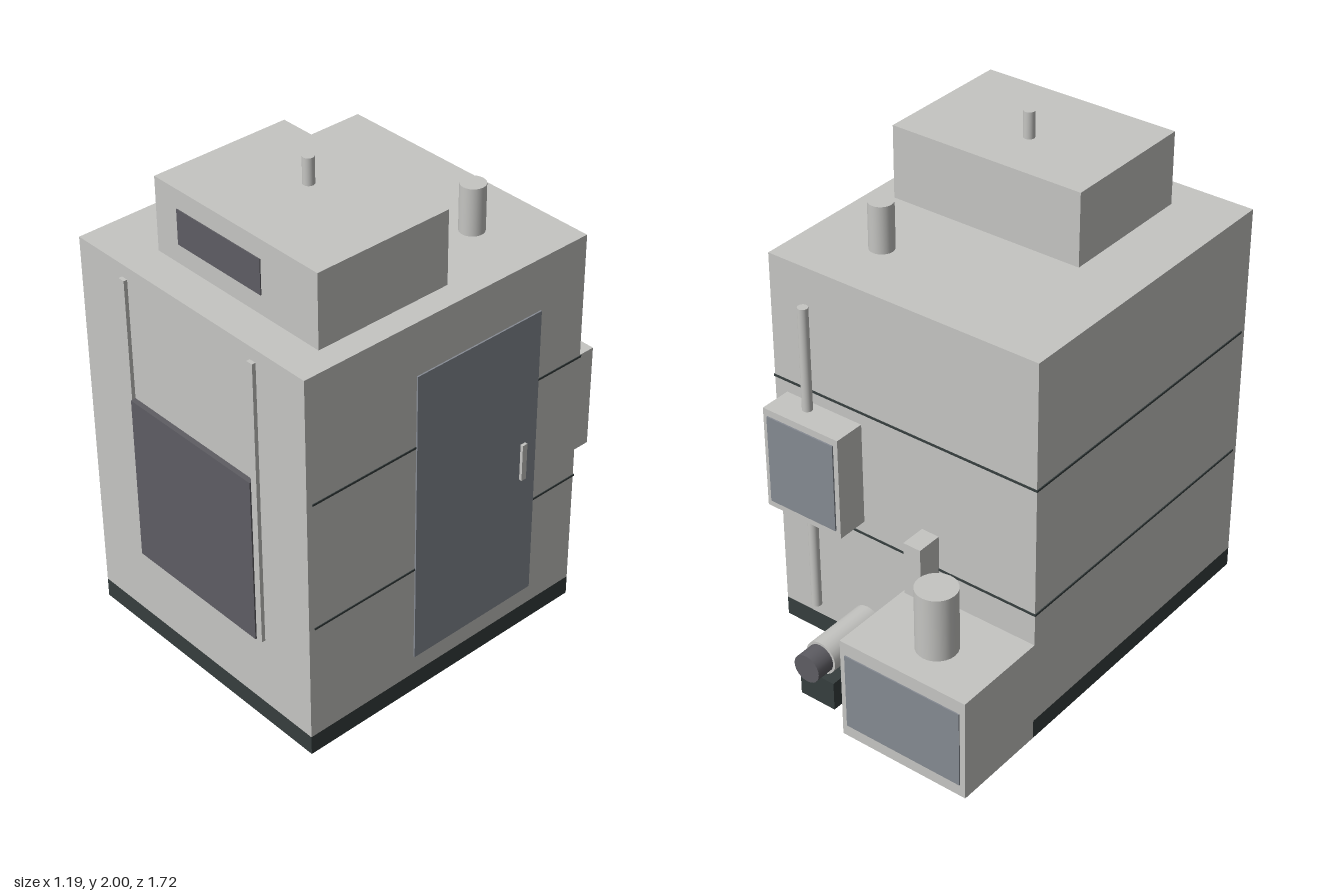
import * as THREE from 'three';

const mat = (name, color) => {
  const m = new THREE.MeshStandardMaterial({ color });
  m.name = name;
  return m;
};

export function createModel() {
  const model = new THREE.Group();
  model.name = 'equipmentCabin';

  const shell = mat('light grey', 0xc5c5c2);
  const dark = mat('dark grey', 0x5e5d63);
  const panel = mat('blue grey', 0x858a92);
  const plinth = mat('charcoal', 0x363e3e);

  const add = (name, geometry, material, x, y, z) => {
    const mesh = new THREE.Mesh(geometry, material);
    mesh.name = name;
    mesh.position.set(x, y, z);
    model.add(mesh);
    return mesh;
  };
  // Box given by its extents on each axis
  const box = (name, material, [x0, x1], [y0, y1], [z0, z1]) =>
    add(name, new THREE.BoxGeometry(x1 - x0, y1 - y0, z1 - z0), material,
      (x0 + x1) / 2, (y0 + y1) / 2, (z0 + z1) / 2);
  // Upright cylinder from y0 to y1
  const post = (name, material, r, x, z, y0, y1) =>
    add(name, new THREE.CylinderGeometry(r, r, y1 - y0, 24), material, x, (y0 + y1) / 2, z);
  // Cylinder lying along z
  const drum = (name, material, r, x, y, z0, z1) => {
    const mesh = post(name, material, r, x, (z0 + z1) / 2, 0, z1 - z0);
    mesh.position.y = y;
    mesh.rotation.x = Math.PI / 2;
  };

  // Main cabin and its base
  box('base', plinth, [-0.595, 0.577], [0, 0.08], [-0.457, 0.836]);
  box('body', shell, [-0.595, 0.577], [0.08, 1.603], [-0.457, 0.836]);

  // Seams around the sides and back
  for (const y of [0.565, 1.096]) {
    box('seam', plinth, [-0.599, 0.58], [y - 0.004, y + 0.004], [-0.461, 0.812]);
  }

  // Roof housing, aerial and vent
  box('roofHousing', shell, [-0.34, 0.481], [1.603, 1.895], [0.118, 0.69]);
  box('roofWindow', dark, [-0.224, 0.203], [1.681, 1.819], [0.688, 0.694]);
  post('aerial', shell, 0.022, 0.044, 0.342, 1.895, 2.0);
  post('roofVent', shell, 0.048, 0.284, -0.19, 1.603, 1.79);

  // Front shutter between two rails
  box('shutter', dark, [-0.33, 0.312], [0.375, 1.061], [0.836, 0.857]);
  for (const x of [-0.345, 0.326]) {
    box('shutterRail', shell, [x - 0.014, x + 0.014], [0.375, 1.552], [0.836, 0.851]);
  }

  // Side door and handle
  box('sideDoor', panel, [0.575, 0.583], [0.16, 1.389], [-0.24, 0.346]);
  box('doorHandle', shell, [0.583, 0.595], [0.70, 0.855], [-0.185, -0.162]);

  // Wall box with conduit on the back
  box('wallBox', shell, [0.175, 0.522], [0.62, 1.045], [-0.588, -0.457]);
  box('wallBoxPanel', panel, [0.195, 0.502], [0.648, 1.017], [-0.594, -0.586]);
  post('conduit', shell, 0.02, 0.389, -0.499, 0.165, 1.47);

  // Rear cabinet with its stack and duct
  box('rearCabinet', shell, [-0.595, -0.037], [0, 0.43], [-0.854, -0.457]);
  box('rearCabinetPanel', panel, [-0.572, -0.06], [0.052, 0.375], [-0.859, -0.852]);
  post('stack', shell, 0.08, -0.33, -0.671, 0.43, 0.695);
  box('duct', shell, [-0.17, -0.094], [0.488, 0.71], [-0.562, -0.457]);

  // Motor on a block
  box('motorBlock', plinth, [0.071, 0.23], [0, 0.122], [-0.777, -0.457]);
  drum('motor', shell, 0.068, 0.15, 0.188, -0.751, -0.484);
  drum('motorCap', dark, 0.058, 0.15, 0.188, -0.83, -0.751);

  return model;
}
